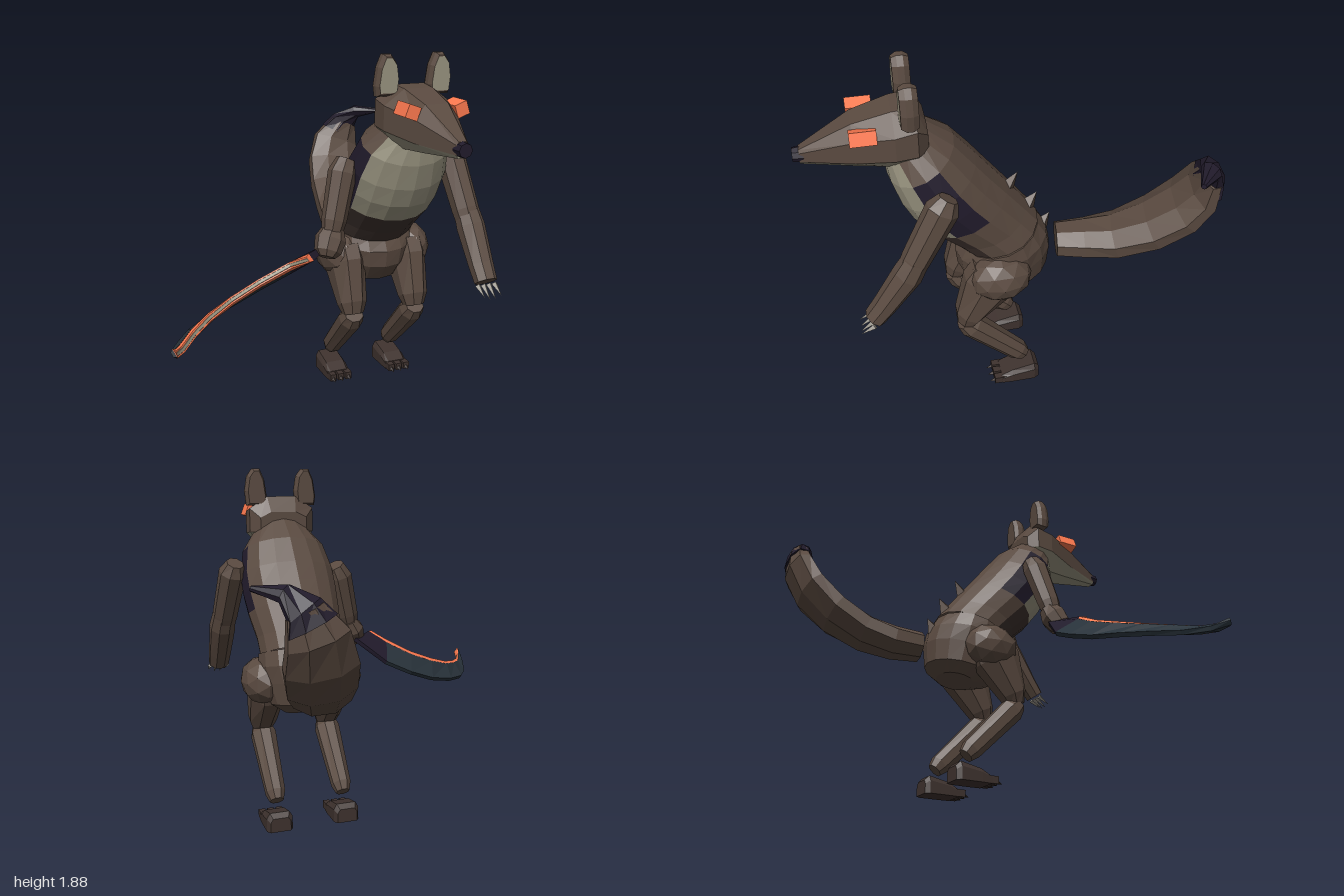
import * as THREE from 'three';

const V = (x, y, z) => new THREE.Vector3(x, y, z);
const BROWN = 0x5a4a40, DARK = 0x3e322e, NAVY = 0x211b2b, GREY = 0x98937f, ORANGE = 0xff7a50, STEEL = 0x28323a, CLAW = 0x9a958c;

function add(parent, name, geo, color) {
  const mat = new THREE.MeshStandardMaterial({ color, flatShading: true, side: THREE.DoubleSide });
  const m = new THREE.Mesh(geo, mat);
  m.name = name;
  parent.add(m);
  return m;
}

// Skin between rows of points; closed joins each row into a ring, caps fill the ends
function loft(rows, closed = true, caps = true) {
  const pos = [], n = rows[0].length;
  const tri = (...ps) => ps.forEach(p => pos.push(p.x, p.y, p.z));
  for (let i = 0; i < rows.length - 1; i++) {
    for (let j = 0; j < (closed ? n : n - 1); j++) {
      const k = (j + 1) % n, a = rows[i], b = rows[i + 1];
      tri(a[j], a[k], b[k]);
      tri(a[j], b[k], b[j]);
    }
  }
  if (caps) [rows[0], rows[rows.length - 1]].forEach((r, end) => {
    const c = r.reduce((s, p) => s.add(p), V(0, 0, 0)).divideScalar(n);
    for (let j = 0; j < n; j++) {
      const k = (j + 1) % n;
      end ? tri(c, r[j], r[k]) : tri(c, r[k], r[j]);
    }
  });
  const g = new THREE.BufferGeometry();
  g.setAttribute('position', new THREE.Float32BufferAttribute(pos, 3));
  g.computeVertexNormals();
  return g;
}

// Faceted limb along stations [x, y, z, halfWidth, halfDepth]
function limb(st, sides = 8) {
  const pts = st.map(s => V(s[0], s[1], s[2]));
  return loft(st.map((s, i) => {
    const t = pts[Math.min(i + 1, pts.length - 1)].clone().sub(pts[Math.max(i - 1, 0)]).normalize();
    const u = V(1, 0, 0).addScaledVector(t, -t.x).normalize();
    const v = t.clone().cross(u);
    return Array.from({ length: sides }, (_, j) => {
      const a = (j + 0.5) / sides * Math.PI * 2;
      return pts[i].clone().addScaledVector(u, Math.cos(a) * s[3] * 1.08).addScaledVector(v, Math.sin(a) * s[4] * 1.08);
    });
  }));
}

// Sector of the trunk; rings are [backZ, backY, frontZ, frontY, halfWidth], angle 0 faces forward
function trunk(rings, from, to, caps = false) {
  const full = to - from === 16;
  return loft(rings.map(([bz, by, fz, fy, w]) =>
    Array.from({ length: to - from + (full ? 0 : 1) }, (_, j) => {
      const a = (from + j) / 16 * Math.PI * 2, c = Math.cos(a) / 2;
      return V(Math.sin(a) * w, (by + fy) / 2 + (fy - by) * c, (bz + fz) / 2 + (fz - bz) * c);
    })), full, caps);
}

// Pointed cone from base to tip
function spike(parent, name, base, tip, r, color, sides = 4) {
  const d = tip.clone().sub(base);
  const m = add(parent, name, new THREE.ConeGeometry(r, d.length(), sides), color);
  m.position.copy(base).addScaledVector(d, 0.5);
  m.quaternion.setFromUnitVectors(V(0, 1, 0), d.normalize());
}

function buildTrunk(g) {
  const r = [
    [-.14, 1.0, .24, .85, .23], [-.08, 1.08, .32, .93, .23], [.02, 1.21, .43, 1.03, .25],
    [.10, 1.31, .50, 1.12, .26], [.17, 1.40, .55, 1.22, .26], [.27, 1.52, .59, 1.35, .23], [.41, 1.62, .60, 1.45, .15]];
  add(g, 'belly', trunk(r.slice(0, 3), -3, 3), DARK);
  add(g, 'chestFur', trunk(r.slice(2), -3, 3), GREY);
  add(g, 'lowerBack', trunk(r.slice(0, 3), 3, 13), BROWN);
  add(g, 'upperBack', trunk(r.slice(2), 5, 11), BROWN);
  for (const [from, side] of [[3, 'left'], [11, 'right']]) {
    add(g, side + 'ShoulderPatch', trunk(r.slice(2, 6), from, from + 2), NAVY);
    add(g, side + 'Neck', trunk(r.slice(5), from, from + 2), BROWN);
  }
  add(g, 'pelvis', trunk([
    [-.13, .64, .08, .60, .12], [-.20, .70, .20, .63, .19], [-.21, .82, .27, .72, .22],
    [-.19, .91, .28, .81, .245], [-.14, .99, .25, .87, .24]], 0, 16, true), BROWN);
  [[.02, 1.16, -.04, 1.255], [-.09, 1.04, -.14, 1.115], [-.165, .90, -.21, .97]].forEach(([z, y, tz, ty]) =>
    spike(g, 'backSpike', V(0, y, z), V(0, ty, tz), .045, BROWN));
}

function buildHead(g) {
  // z, top half width, top y, side half width, side top y, side low y, jaw half width, jaw y
  const s = [
    [.40, .07, 1.65, .13, 1.62, 1.54, .06, 1.50], [.45, .08, 1.735, .18, 1.67, 1.54, .09, 1.46],
    [.55, .075, 1.725, .18, 1.65, 1.53, .09, 1.44], [.73, .06, 1.675, .115, 1.61, 1.50, .06, 1.45],
    [.97, .02, 1.545, .03, 1.53, 1.485, .02, 1.47]];
  add(g, 'head', loft(s.map(([z, tw, yt, sw, yu, yl]) => [
    V(sw, yl, z), V(sw, yu, z), V(tw, yt, z), V(-tw, yt, z), V(-sw, yu, z), V(-sw, yl, z)])), BROWN);
  add(g, 'jaw', loft(s.map(([z, , , sw, , yl, bw, yb]) => [
    V(-sw, yl, z), V(-bw, yb, z), V(bw, yb, z), V(sw, yl, z)])), GREY);
  const nose = add(g, 'nose', new THREE.CylinderGeometry(.034, .04, .05, 8), NAVY);
  nose.rotation.x = Math.PI / 2;
  nose.position.set(0, 1.51, .975);
  // Ears with pale inner faces, and slanted eye plates
  const shape = k => new THREE.Shape([[-.055, 0], [.05, 0], [.058, .08], [.045, .16], [.015, .2], [-.025, .2], [-.05, .14], [-.062, .05]]
    .map(([x, y]) => new THREE.Vector2(x * k, .1 + (y - .1) * k)));
  for (const m of [1, -1]) {
    const ear = new THREE.Group();
    ear.name = m > 0 ? 'leftEar' : 'rightEar';
    add(ear, 'earShell', new THREE.ExtrudeGeometry(shape(1), { depth: .03, bevelEnabled: true, bevelThickness: .025, bevelSize: .012, bevelOffset: -.012, bevelSegments: 1 }), BROWN);
    const inner = add(ear, 'innerEar', new THREE.ShapeGeometry(shape(.82)), GREY);
    inner.position.z = .057;
    ear.position.set(m * .14, 1.685, .465);
    g.add(ear);
    const eye = add(g, 'eye', new THREE.BoxGeometry(.065, .065, .12), ORANGE);
    eye.position.set(m * .128, 1.645, .685);
    eye.rotation.z = m * .35;
  }
}

function buildLeg(g, m) {
  const leg = new THREE.Group(), x = m * .185;
  leg.name = m > 0 ? 'leftLeg' : 'rightLeg';
  const hip = add(leg, 'hip', new THREE.IcosahedronGeometry(1, 1), BROWN);
  hip.scale.set(.12, .13, .16);
  hip.position.set(m * .21, .78, .09);
  add(leg, 'thigh', limb([[x, .80, .10, .095, .13], [x, .72, .14, .095, .14], [x, .53, .245, .075, .075], [x, .475, .26, .055, .05]]), BROWN);
  add(leg, 'shin', limb([[x, .475, .275, .05, .045], [x, .435, .235, .065, .065], [x, .18, -.015, .05, .055], [x, .145, -.045, .035, .04]]), BROWN);
  // Wedge foot with three clawed toes
  const foot = [[-.125, .055, .075], [-.10, .07, .10], [.02, .07, .075], [.08, .066, .045]].map(([z, w, h]) => [
    V(x + w, 0, z), V(x + w, h * .7, z), V(x + w * .75, h, z), V(x - w * .75, h, z), V(x - w, h * .7, z), V(x - w, 0, z)]);
  add(leg, 'foot', loft(foot), DARK);
  for (const k of [-1, 0, 1]) {
    const toe = add(leg, 'toe', new THREE.BoxGeometry(.036, .04, .08), DARK);
    toe.position.set(x + k * .047, .022, .08);
    spike(leg, 'toeClaw', V(x + k * .047, .018, .11), V(x + k * .047, .006, .148), .016, DARK);
  }
  g.add(leg);
}

function buildArms(g) {
  add(g, 'leftUpperArm', limb([[.29, 1.38, .345, .045, .045], [.30, 1.33, .375, .07, .075], [.325, 1.08, .51, .065, .065], [.33, 1.03, .535, .06, .06]]), BROWN);
  add(g, 'leftForearm', limb([[.33, 1.08, .51, .06, .06], [.335, 1.0, .555, .068, .068], [.335, .83, .67, .06, .055], [.335, .755, .725, .055, .05]]), BROWN);
  for (let k = 0; k < 4; k++) {
    const x = .335 + (k - 1.5) * .032;
    spike(g, 'claw', V(x, .74, .73), V(x, k % 3 ? .685 : .70, .80), .016, CLAW);
  }
  add(g, 'rightUpperArm', limb([[-.27, 1.35, .33, .05, .05], [-.30, 1.29, .345, .068, .07], [-.36, 1.06, .39, .06, .06], [-.375, 1.0, .40, .05, .05]]), BROWN);
  add(g, 'rightHand', limb([[-.36, 1.02, .385, .05, .05], [-.385, .965, .405, .075, .07], [-.41, .91, .43, .065, .06], [-.42, .885, .44, .04, .04]]), BROWN);
}

function buildBlade(g) {
  const outer = [[.02, .91, .36], [-.15, .77, .29], [-.30, .70, .275], [-.45, .645, .30], [-.60, .615, .36], [-.72, .60, .46], [-.80, .60, .58], [-.86, .63, .72], [-.885, .68, .84]].map(p => V(...p));
  const inner = [[-.13, .915, .52], [-.20, .87, .45], [-.35, .79, .42], [-.50, .73, .45], [-.63, .685, .52], [-.73, .66, .62], [-.81, .645, .73], [-.85, .655, .79], [-.87, .69, .845]].map(p => V(...p));
  const band = (from, to, t0, t1, a, b) => loft(outer.slice(a, b).map((o, i) => {
    const q = inner[a + i], along = outer[Math.min(a + i + 1, 8)].clone().sub(outer[Math.max(a + i - 1, 0)]);
    const n = q.clone().sub(o).cross(along).normalize();
    const at = (f, t) => o.clone().lerp(q, f).addScaledVector(n, t);
    return [at(from, t0), at(from, -t0), at(to, -t1), at(to, t1)];
  }));
  add(g, 'bladeRoot', band(0, .82, .012, .022, 0, 2), NAVY);
  add(g, 'bladeSpine', band(0, .82, .012, .022, 1, 9), STEEL);
  add(g, 'bladeEdge', band(.8, 1, .022, .016, 0, 9), ORANGE);
  add(g, 'bladeBevel', band(.99, 1.02, .009, .007, 0, 9), GREY);
}

function buildTail(g) {
  const st = [
    [.425, .785, -.25, .10, .075], [.45, .79, -.40, .118, .083], [.50, .83, -.55, .138, .085], [.55, .925, -.72, .16, .085],
    [.59, 1.05, -.855, .165, .08], [.625, 1.18, -.925, .14, .07], [.68, 1.30, -.925, .085, .05], [.75, 1.37, -.88, .05, .035], [.87, 1.385, -.79, .012, .012]];
  add(g, 'tail', limb(st.slice(0, 7)), BROWN);
  add(g, 'tailTip', limb(st.slice(5).map((s, i) => i ? s : [.65, 1.235, -.93, .116, .062])), NAVY);
}

export function createModel() {
  const root = new THREE.Group(), body = new THREE.Group();
  root.name = 'foxWarrior';
  body.name = 'body';
  body.position.x = .42;
  root.add(body);
  buildTrunk(body);
  buildHead(body);
  buildLeg(body, 1);
  buildLeg(body, -1);
  buildArms(body);
  buildBlade(root);
  buildTail(root);
  return root;
}
